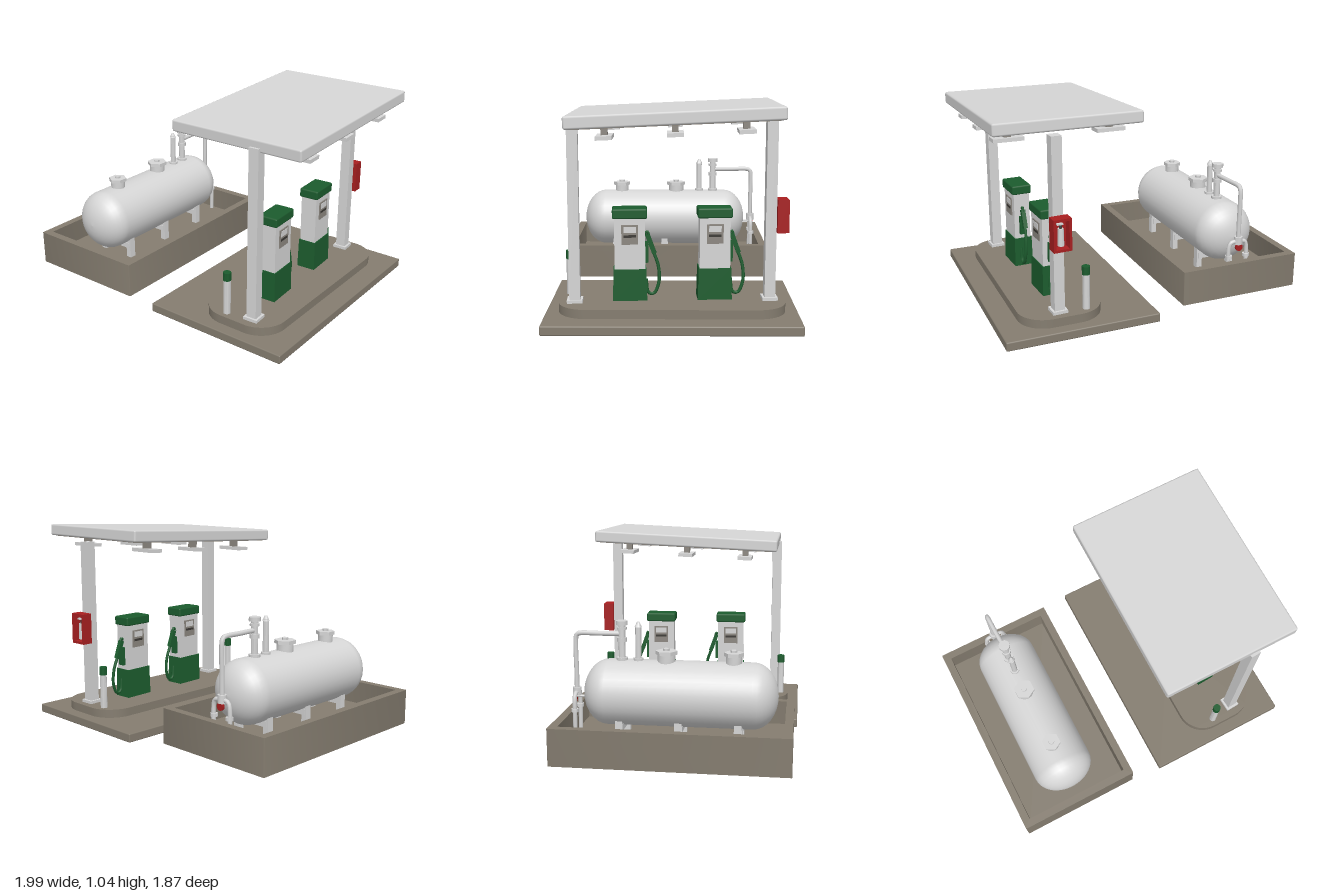
import * as THREE from 'three';
import { RoundedBoxGeometry } from 'three/addons/geometries/RoundedBoxGeometry.js';
import { toCreasedNormals } from 'three/addons/utils/BufferGeometryUtils.js';

const mat = (name, color, side = THREE.FrontSide) => {
  const m = new THREE.MeshStandardMaterial({ color, side });
  m.name = name;
  return m;
};

export function createModel() {
  const white = mat('white paint', 0xd6d6d6);
  const concrete = mat('concrete', 0x857d70);
  const green = mat('green paint', 0x1c5c2e);
  const red = mat('red paint', 0xa81f20);
  const grey = mat('grey detail', 0x8c8780);
  const dark = mat('dark detail', 0x3c3935);

  const add = (parent, name, geo, m, x = 0, y = 0, z = 0) => {
    const mesh = new THREE.Mesh(geo, m);
    mesh.name = name;
    mesh.position.set(x, y, z);
    parent.add(mesh);
    return mesh;
  };
  const group = (parent, name, x = 0, y = 0, z = 0) => {
    const g = new THREE.Group();
    g.name = name;
    g.position.set(x, y, z);
    parent.add(g);
    return g;
  };
  const box = (w, h, d) => new THREE.BoxGeometry(w, h, d);
  const soft = (w, h, d, r) => new RoundedBoxGeometry(w, h, d, 1, r);
  const cyl = (rt, rb, h, n = 12) => toCreasedNormals(new THREE.CylinderGeometry(rt, rb, h, n), 0.7);
  const tube = (pts, r, seg = 24) => new THREE.TubeGeometry(
    new THREE.CatmullRomCurve3(pts.map(p => new THREE.Vector3(...p)), false, 'centripetal'), seg, r, 8);
  const rectShape = (C, w, h, r) => {
    const s = new C();
    s.moveTo(-w + r, -h);
    s.lineTo(w - r, -h);
    s.absarc(w - r, -h + r, r, -Math.PI / 2, 0);
    s.absarc(w - r, h - r, r, 0, Math.PI / 2);
    s.absarc(-w + r, h - r, r, Math.PI / 2, Math.PI);
    s.absarc(-w + r, -h + r, r, Math.PI, Math.PI * 1.5);
    return s;
  };
  const slab = (shape, h) => toCreasedNormals(
    new THREE.ExtrudeGeometry(shape, { depth: h, bevelEnabled: false, curveSegments: 6 })
      .rotateX(-Math.PI / 2), 0.6);
  // box narrowed toward its top
  const taperedBox = (w, h, d, k) => {
    const g = box(w, h, d), p = g.attributes.position;
    for (let i = 0; i < p.count; i++)
      if (p.getY(i) > 0) { p.setX(i, p.getX(i) * k); p.setZ(i, p.getZ(i) * k); }
    g.computeVertexNormals();
    return g;
  };

  const root = new THREE.Group();
  root.name = 'fuelStation';
  const yaw = -0.669;

  // ---------- forecourt ----------
  const court = group(root, 'forecourt', 0.315, 0, 0.2225);
  court.rotation.y = yaw;
  add(court, 'forecourtSlab', soft(0.776, 0.046, 1.21, 0.006), concrete, 0, 0.023, 0);
  add(court, 'pumpIsland', slab(rectShape(THREE.Shape, 0.21, 0.545, 0.14), 0.045), concrete, 0.07, 0.045, 0);

  // canopy, raised slightly at its back end
  const canopy = group(court, 'canopy', 0.025, 0.99, -0.012);
  canopy.rotation.x = 0.045;
  add(canopy, 'canopyRoof', soft(0.72, 0.06, 0.985, 0.01), white);
  add(canopy, 'canopyUnderside', box(0.67, 0.006, 0.935), concrete, 0, -0.03, 0);
  for (const x of [-0.25, 0.25]) for (const z of [-0.32, 0, 0.32]) {
    add(canopy, 'lampStem', box(0.035, 0.04, 0.03), grey, x, -0.05, z);
    add(canopy, 'lamp', box(0.145, 0.018, 0.075), white, x, -0.077, z);
  }

  // everything standing on the island
  const line = group(court, 'islandEquipment', 0.07, 0, 0);
  line.rotation.y = 0.055;
  for (const s of [-1, 1]) {
    add(line, 'canopyPost', box(0.052, 0.87, 0.052), white, 0.05, 0.525, s * 0.47);
    add(line, 'postFoot', box(0.075, 0.015, 0.075), white, 0.05, 0.0975, s * 0.47);
    add(line, 'bollard', cyl(0.018, 0.018, 0.18), white, -0.085, 0.18, s * 0.5);
    add(line, 'bollardCap', cyl(0.02, 0.02, 0.042), green, -0.085, 0.29, s * 0.5);
  }

  // fuel pumps
  for (const z of [0.205, -0.205]) {
    const pump = group(line, 'fuelPump', 0.005, 0.09, z);
    add(pump, 'pumpBase', taperedBox(0.1, 0.155, 0.166, 0.95), green, 0, 0.0775, 0);
    add(pump, 'pumpBody', box(0.086, 0.25, 0.148), white, 0, 0.28, 0);
    add(pump, 'pumpCap', soft(0.104, 0.048, 0.168, 0.008), green, 0, 0.426, 0);
    for (const s of [-1, 1]) {
      add(pump, 'displayFrame', box(0.008, 0.095, 0.08), grey, s * 0.044, 0.325, 0);
      add(pump, 'displayScreen', box(0.006, 0.03, 0.06), white, s * 0.0465, 0.35, 0);
      add(pump, 'displaySlot', box(0.006, 0.012, 0.06), dark, s * 0.0465, 0.318, 0);
    }
    add(pump, 'nozzleHolder', box(0.035, 0.1, 0.018), green, 0, 0.23, -0.08);
    const nozzle = add(pump, 'nozzle', box(0.022, 0.1, 0.022), green, 0, 0.27, -0.102);
    nozzle.rotation.x = 0.35;
    add(pump, 'nozzleSpout', tube([[0, 0.3, -0.095], [0, 0.33, -0.085], [0, 0.32, -0.07]], 0.007, 8), green);
    add(pump, 'hose', tube([[0, 0.23, -0.115], [0.005, 0.16, -0.138], [0.01, 0.08, -0.14],
      [0.012, 0.025, -0.115], [0.012, 0.03, -0.09], [0.012, 0.1, -0.078]], 0.008), green);
  }

  // extinguisher cabinet, open at the back
  const cabinet = group(line, 'extinguisherCabinet', 0.05, 0.505, -0.525);
  add(cabinet, 'cabinetBack', box(0.09, 0.16, 0.01), red, 0, 0, 0.023);
  for (const s of [-1, 1]) {
    add(cabinet, 'cabinetSide', box(0.012, 0.16, 0.056), red, s * 0.039, 0, 0);
    add(cabinet, 'cabinetEnd', box(0.09, 0.012, 0.056), red, 0, s * 0.074, 0);
  }
  add(cabinet, 'extinguisher', cyl(0.014, 0.016, 0.085, 10), white, 0, -0.015, 0);
  add(cabinet, 'extinguisherValve', cyl(0.006, 0.008, 0.02, 8), dark, 0, 0.037, 0);
  add(cabinet, 'extinguisherHandle', box(0.03, 0.008, 0.014), white, 0.006, 0.05, -0.004);

  // ---------- storage tank in its tray ----------
  const yard = group(root, 'tankYard', -0.395, 0, -0.3);
  yard.rotation.y = yaw;
  const rim = rectShape(THREE.Shape, 0.327, 0.5585, 0.004);
  rim.holes.push(rectShape(THREE.Path, 0.287, 0.5185, 0.004));
  add(yard, 'trayWalls', slab(rim, 0.18), concrete, 0, 0.02, 0);
  add(yard, 'trayFloor', box(0.6, 0.06, 1.06), concrete, 0, 0.0505, 0);

  // tank shell with domed ends
  const R = 0.16, straight = 0.35, dome = 0.12, profile = [];
  for (let i = 0; i <= 8; i++) {
    const a = (i / 8) * Math.PI / 2;
    profile.push(new THREE.Vector2(R * Math.sin(a), -straight - dome * Math.cos(a)));
  }
  for (let i = 8; i >= 0; i--) profile.push(new THREE.Vector2(profile[i].x, -profile[i].y));
  add(yard, 'tank', new THREE.LatheGeometry(profile, 32).rotateX(Math.PI / 2), white, -0.005, 0.302, 0.015);
  for (const z of [-0.27, 0.015, 0.3]) {
    add(yard, 'tankCradle', box(0.2, 0.03, 0.04), white, 0, 0.15, z);
    for (const s of [-1, 1]) add(yard, 'tankLeg', box(0.03, 0.12, 0.035), white, s * 0.095, 0.135, z);
  }

  // hatches
  for (const [z, r] of [[0.27, 0.048], [-0.053, 0.054]]) {
    add(yard, 'hatchNeck', cyl(r * 0.8, r * 0.8, 0.05, 12), white, -0.01, 0.475, z);
    add(yard, 'hatchLid', cyl(r, r, 0.018, 6), white, -0.01, 0.503, z);
    add(yard, 'hatchKnob', cyl(0.016, 0.016, 0.012, 6), white, -0.01, 0.517, z);
  }

  // vent and filling pipes
  add(yard, 'ventPipe', cyl(0.015, 0.015, 0.18), white, -0.005, 0.54, -0.19);
  add(yard, 'ventTip', cyl(0.006, 0.018, 0.025), white, -0.005, 0.635, -0.19);
  add(yard, 'ventFlange', cyl(0.024, 0.024, 0.014), white, -0.005, 0.465, -0.19);
  add(yard, 'fillPipe', cyl(0.017, 0.017, 0.2), white, -0.005, 0.54, -0.27);
  for (const [y, r, h] of [[0.465, 0.028, 0.016], [0.56, 0.024, 0.02], [0.615, 0.024, 0.012], [0.642, 0.029, 0.02]])
    add(yard, 'fillCollar', cyl(r, r, h), white, -0.005, y, -0.27);
  add(yard, 'transferPipe', tube([[-0.005, 0.588, -0.27], [-0.01, 0.588, -0.38], [-0.012, 0.588, -0.475],
    [-0.012, 0.582, -0.49], [-0.012, 0.565, -0.496], [-0.012, 0.4, -0.496], [-0.012, 0.3, -0.496]], 0.012, 40), white);

  // valve, handle and outlet branches
  add(yard, 'valveBody', cyl(0.022, 0.022, 0.04), white, -0.012, 0.3, -0.496);
  add(yard, 'valveBranch', tube([[-0.06, 0.08, -0.496], [-0.06, 0.27, -0.496], [-0.05, 0.29, -0.496],
    [0.03, 0.29, -0.496], [0.04, 0.27, -0.496], [0.04, 0.08, -0.496]], 0.011, 40), white);
  for (const x of [-0.06, 0.04]) add(yard, 'branchCollar', cyl(0.018, 0.018, 0.016), white, x, 0.215, -0.496);
  add(yard, 'valveWheel', cyl(0.02, 0.02, 0.012), red, -0.012, 0.265, -0.505).rotation.x = Math.PI / 2;
  add(yard, 'valveStem', cyl(0.007, 0.007, 0.05, 8), white, -0.012, 0.275, -0.48).rotation.x = Math.PI / 2;

  return root;
}
